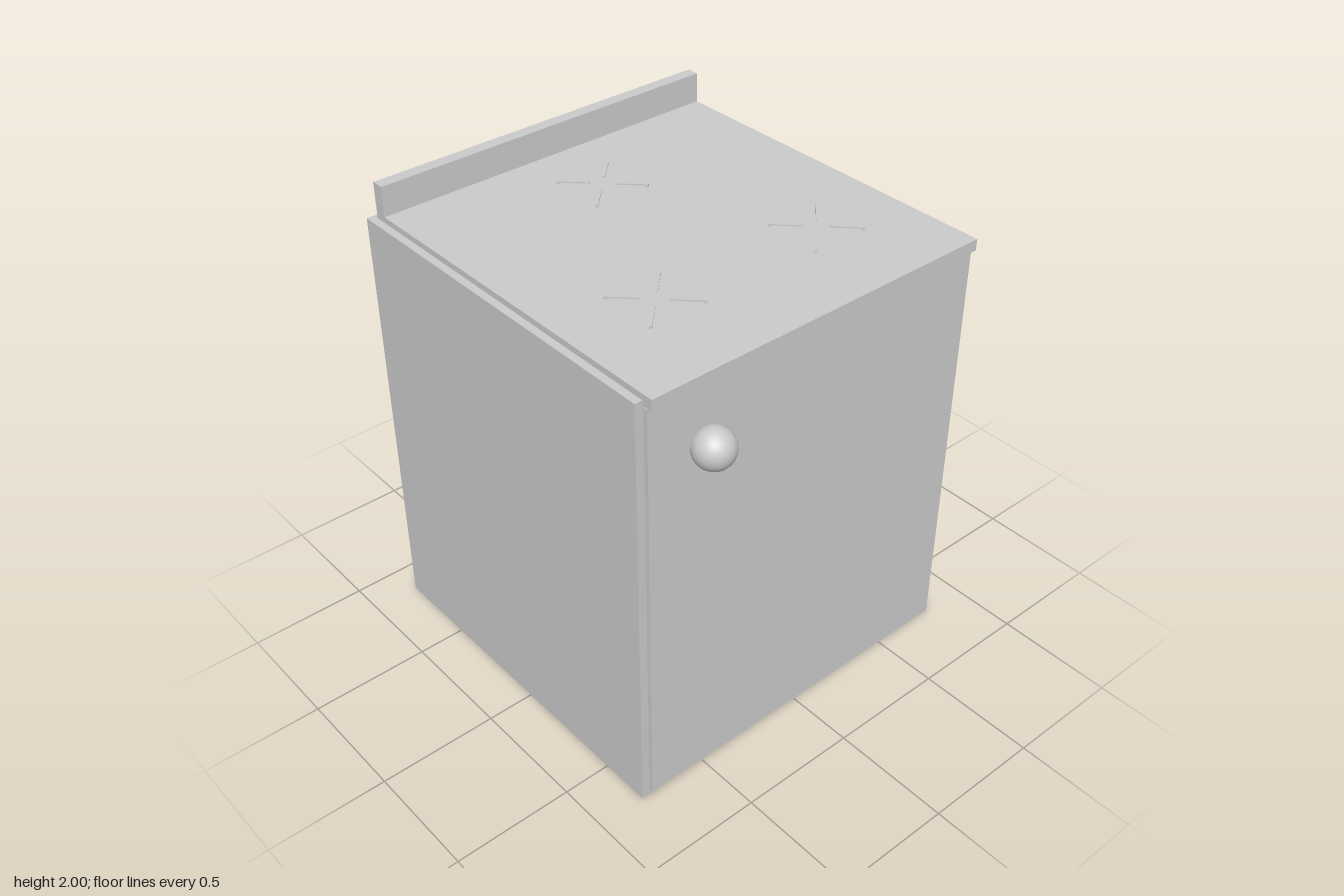
import * as THREE from 'three';

const material = new THREE.MeshStandardMaterial({ color: 0xcccccc });

// Box given by its min and max extents on each axis
function box(name, [x0, x1], [y0, y1], [z0, z1]) {
  const mesh = new THREE.Mesh(new THREE.BoxGeometry(x1 - x0, y1 - y0, z1 - z0), material);
  mesh.position.set((x0 + x1) / 2, (y0 + y1) / 2, (z0 + z1) / 2);
  mesh.name = name;
  return mesh;
}

// Four thin diagonal bars, each with a small foot at the outer end
function createBurner(x, z) {
  const burner = new THREE.Group();
  burner.name = 'burnerGrate';
  for (let i = 0; i < 4; i++) {
    const arm = new THREE.Group();
    arm.name = 'grateArm';
    arm.add(
      box('grateBar', [0.05, 0.178], [0.006, 0.012], [-0.005, 0.005]),
      box('grateFoot', [0.166, 0.178], [-0.002, 0.006], [-0.005, 0.005]),
    );
    arm.rotation.y = Math.PI / 4 + i * Math.PI / 2;
    burner.add(arm);
  }
  burner.position.set(x, 1.875, z);
  return burner;
}

export function createModel() {
  const model = new THREE.Group();
  model.name = 'stove';

  // Cabinet and door
  model.add(
    box('cabinet', [-0.8, 0.8], [0, 1.85], [-0.855, 0.715]),
    box('door', [-0.765, 0.765], [0.03, 1.82], [0.7, 0.733]),
  );

  // Cooktop with overhanging front and upright back rail
  model.add(
    box('cooktop', [-0.768, 0.768], [1.828, 1.875], [-0.83, 0.76]),
    box('backRail', [-0.768, 0.768], [1.87, 2], [-0.83, -0.777]),
  );

  // Three burners
  for (const [x, z] of [[0, -0.45], [-0.385, 0.322], [0.385, 0.322]]) {
    model.add(createBurner(x, z));
  }

  // Round door knob
  const knob = new THREE.Mesh(new THREE.SphereGeometry(0.081, 32, 16), material);
  knob.name = 'doorKnob';
  knob.position.set(-0.515, 1.572, 0.774);
  model.add(knob);

  return model;
}
